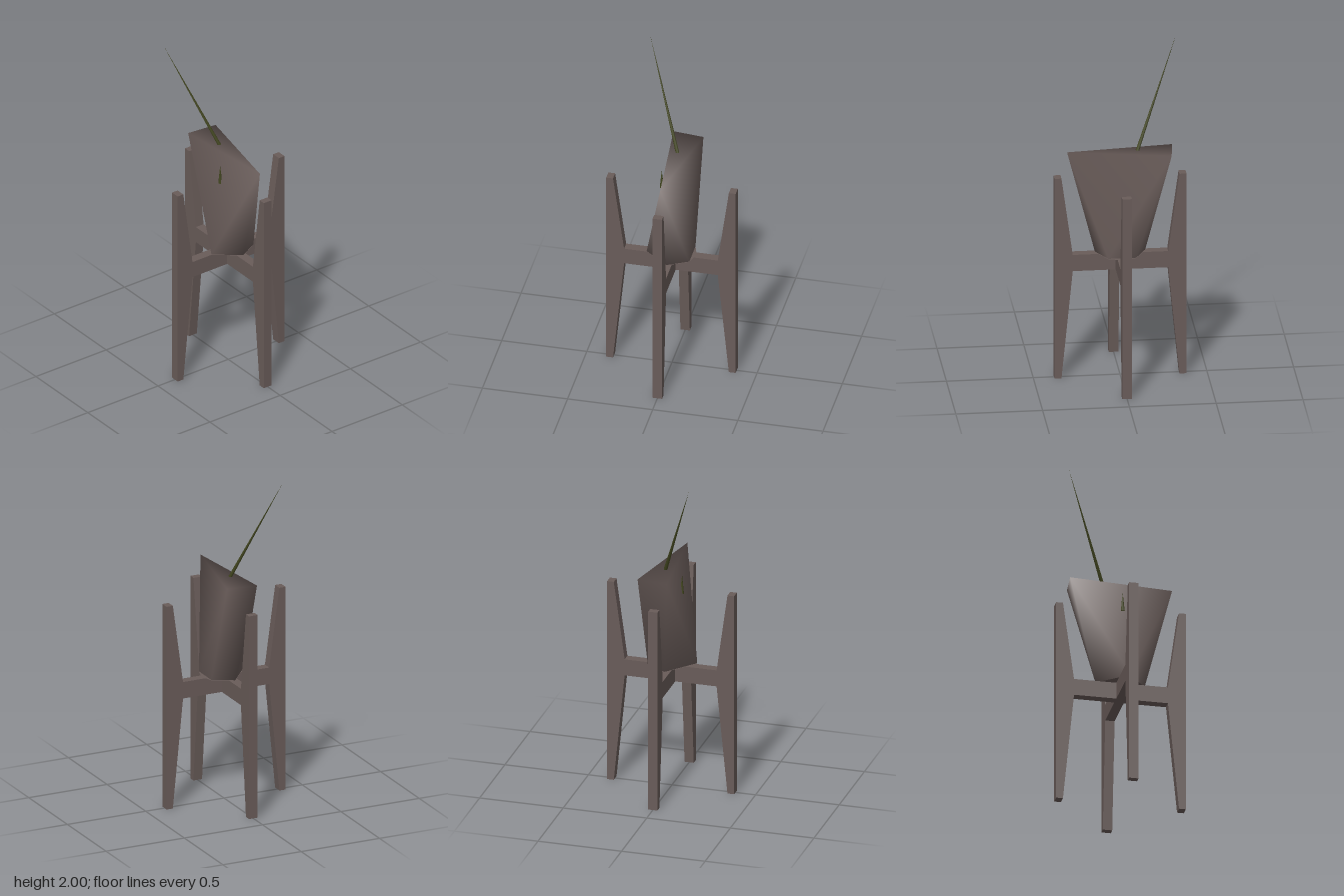
import * as THREE from 'three';

const brown = new THREE.MeshStandardMaterial({ name: 'greyBrown', color: 0x695c59 });
const brownSheet = new THREE.MeshStandardMaterial({ name: 'greyBrownSheet', color: 0x695c59, side: THREE.DoubleSide });
const olive = new THREE.MeshStandardMaterial({ name: 'darkOlive', color: 0x434720 });

function add(parent, name, geometry, material) {
  const mesh = new THREE.Mesh(geometry, material);
  mesh.name = name;
  parent.add(mesh);
  return mesh;
}

// One pair of tapered legs joined by a crossbar, as a flat H profile
function legPair() {
  const half = [[0.275, 0.66], [0.34, 0], [0.38, 0], [0.38, 1.235], [0.34, 1.235], [0.275, 0.76]];
  const mirrored = half.map(([x, y]) => [-x, y]).reverse();
  const shape = new THREE.Shape([...half, ...mirrored].map(([x, y]) => new THREE.Vector2(x, y)));
  const geometry = new THREE.ExtrudeGeometry(shape, { depth: 0.055, bevelEnabled: false });
  return geometry.translate(0, 0, -0.0275);
}

// Bottom corners of the pot as [x, z], from its right round the front
const foot = [[-0.145, 0], [0.03, 0.142], [0.145, 0], [0.08, -0.12], [-0.08, -0.12]];

// Pot with a three-cornered rim above a five-cornered foot
function potGeometry() {
  const rim = [[-0.305, 0.06], [0.305, 0], [-0.285, -0.12]];
  const points = [
    ...rim.flatMap(([x, z]) => [x, 1.385, z]),
    ...foot.flatMap(([x, z]) => [x, 0.765, z]),
  ];
  const geometry = new THREE.BufferGeometry();
  geometry.setAttribute('position', new THREE.Float32BufferAttribute(points, 3));
  geometry.setIndex([
    0, 3, 4, 0, 4, 1, 1, 4, 5, 1, 5, 6, // front and left walls
    1, 6, 2, 2, 6, 7, 2, 7, 3, 2, 3, 0, // back and right walls
    0, 1, 2,                            // top
    3, 7, 6, 3, 6, 5, 3, 5, 4,          // bottom
  ]);
  geometry.computeVertexNormals();
  return geometry;
}

// Thin pointed spike running from base to tip
function spike(parent, name, base, tip, radius) {
  const a = new THREE.Vector3(...base);
  const b = new THREE.Vector3(...tip);
  const mesh = add(parent, name, new THREE.ConeGeometry(radius, a.distanceTo(b), 6), olive);
  mesh.position.copy(a).lerp(b, 0.5);
  mesh.quaternion.setFromUnitVectors(new THREE.Vector3(0, 1, 0), b.sub(a).normalize());
}

export function createModel() {
  const model = new THREE.Group();
  model.name = 'planterOnStand';

  // Stand: two crossing leg pairs
  const stand = new THREE.Group();
  stand.name = 'stand';
  add(stand, 'sideLegs', legPair(), brown);
  add(stand, 'frontBackLegs', legPair(), brown).rotation.y = Math.PI / 2;
  model.add(stand);

  // Pot and the thin plate under it
  add(model, 'pot', potGeometry(), brown);
  const outline = [...foot.slice(0, 4), [0, -0.145], foot[4]];
  const plate = new THREE.ShapeGeometry(new THREE.Shape(outline.map(([x, z]) => new THREE.Vector2(x, -z))));
  add(model, 'basePlate', plate.rotateX(-Math.PI / 2).translate(0, 0.7625, 0), brownSheet);

  // Leaves
  spike(model, 'longLeaf', [-0.096, 1.375, -0.012], [-0.345, 2, 0.206], 0.011);
  spike(model, 'shortLeaf', [0.003, 1.2, 0.058], [0.003, 1.315, 0.06], 0.013);

  return model;
}
